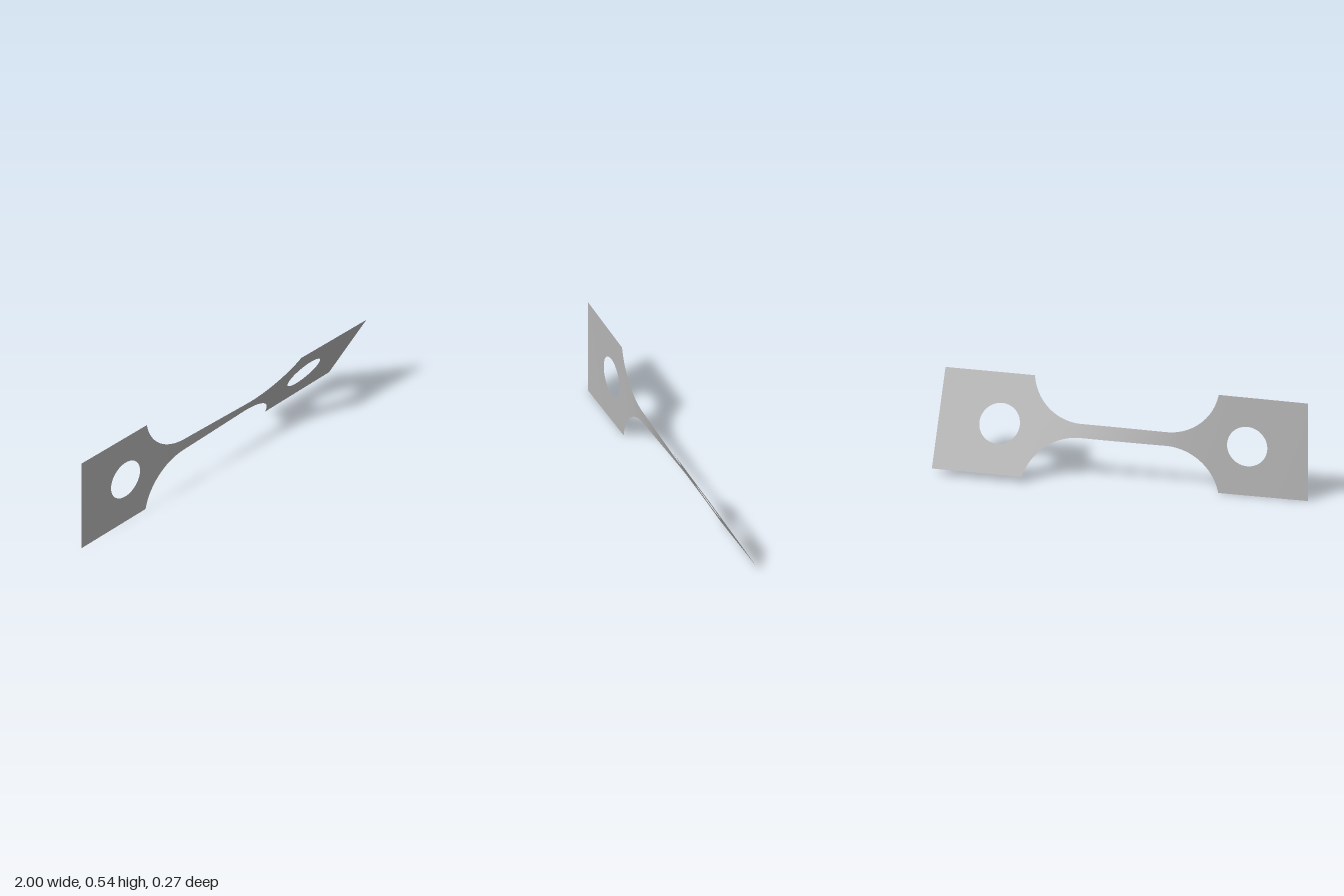
import * as THREE from 'three';
import { mergeGeometries } from 'three/addons/utils/BufferGeometryUtils.js';
import { ParametricGeometry } from 'three/addons/geometries/ParametricGeometry.js';

const MID = 0.271;              // height of the long axis
const GRIP = 0.271;             // half height of the grips
const NECK = 0.037;             // half height of the gauge section
const FILLET_R = 0.29, FILLET_X = 0.23;
const FILLET_Y = NECK + FILLET_R;
const SHOULDER = FILLET_X + Math.sqrt(FILLET_R ** 2 - (FILLET_Y - GRIP) ** 2);
const HOLE_X = 0.67, HOLE_R = 0.109;
const TWIST = Math.PI / 6;

// Half height of the flat strip at x
function halfHeight(x) {
  const a = Math.abs(x);
  if (a <= FILLET_X) return NECK;
  if (a >= SHOULDER - 1e-9) return GRIP;
  return FILLET_Y - Math.sqrt(FILLET_R ** 2 - (a - FILLET_X) ** 2);
}

// Twist builds up fastest where the strip is narrow
const STEPS = 800;
const angles = [0];
for (let i = 0; i < STEPS; i++) {
  const x = -1 + (2 * (i + 0.5)) / STEPS;
  angles.push(angles[i] + halfHeight(x) ** -1.5);
}
function twistAt(x) {
  const t = THREE.MathUtils.clamp((x + 1) / 2, 0, 1) * STEPS;
  const i = Math.min(Math.floor(t), STEPS - 1);
  return (TWIST * THREE.MathUtils.lerp(angles[i], angles[i + 1], t - i)) / angles[STEPS];
}

// Sheet between two edge curves, wound about the long axis
function sheet(x0, x1, low, high, columns, rows) {
  const geometry = new ParametricGeometry((u, v, target) => {
    const x = (x0 + x1) / 2 - ((x1 - x0) / 2) * Math.cos(Math.PI * u);
    const h = THREE.MathUtils.lerp(low(x), high(x), v);
    const a = twistAt(x);
    target.set(x, MID + h * Math.cos(a), h * Math.sin(a));
  }, columns, rows);
  geometry.computeVertexNormals();
  return geometry;
}

// Grip plate: full-height pieces beside the hole, split pieces above and below it
function gripGeometry(side) {
  const c = side * HOLE_X;
  const x0 = side < 0 ? -1 : SHOULDER;
  const x1 = side < 0 ? -SHOULDER : 1;
  const top = () => GRIP, bottom = () => -GRIP;
  const rim = (x) => Math.sqrt(Math.max(0, HOLE_R ** 2 - (x - c) ** 2));
  return mergeGeometries([
    sheet(x0, c - HOLE_R, bottom, top, 6, 8),
    sheet(c - HOLE_R, c + HOLE_R, rim, top, 32, 4),
    sheet(c - HOLE_R, c + HOLE_R, bottom, (x) => -rim(x), 32, 4),
    sheet(c + HOLE_R, x1, bottom, top, 6, 8),
  ]);
}

export function createModel() {
  const group = new THREE.Group();
  group.name = 'twistedTestStrip';
  const metal = new THREE.MeshStandardMaterial({ color: 0xb8b8b8, side: THREE.DoubleSide });
  metal.name = 'grey metal';

  const add = (name, geometry) => {
    const mesh = new THREE.Mesh(geometry, metal);
    mesh.name = name;
    group.add(mesh);
  };

  add('rightGrip', gripGeometry(-1));
  add('leftGrip', gripGeometry(1));
  // Narrow gauge section with its flared fillets
  add('gaugeSection', sheet(-SHOULDER, SHOULDER, (x) => -halfHeight(x), halfHeight, 120, 8));
  return group;
}
